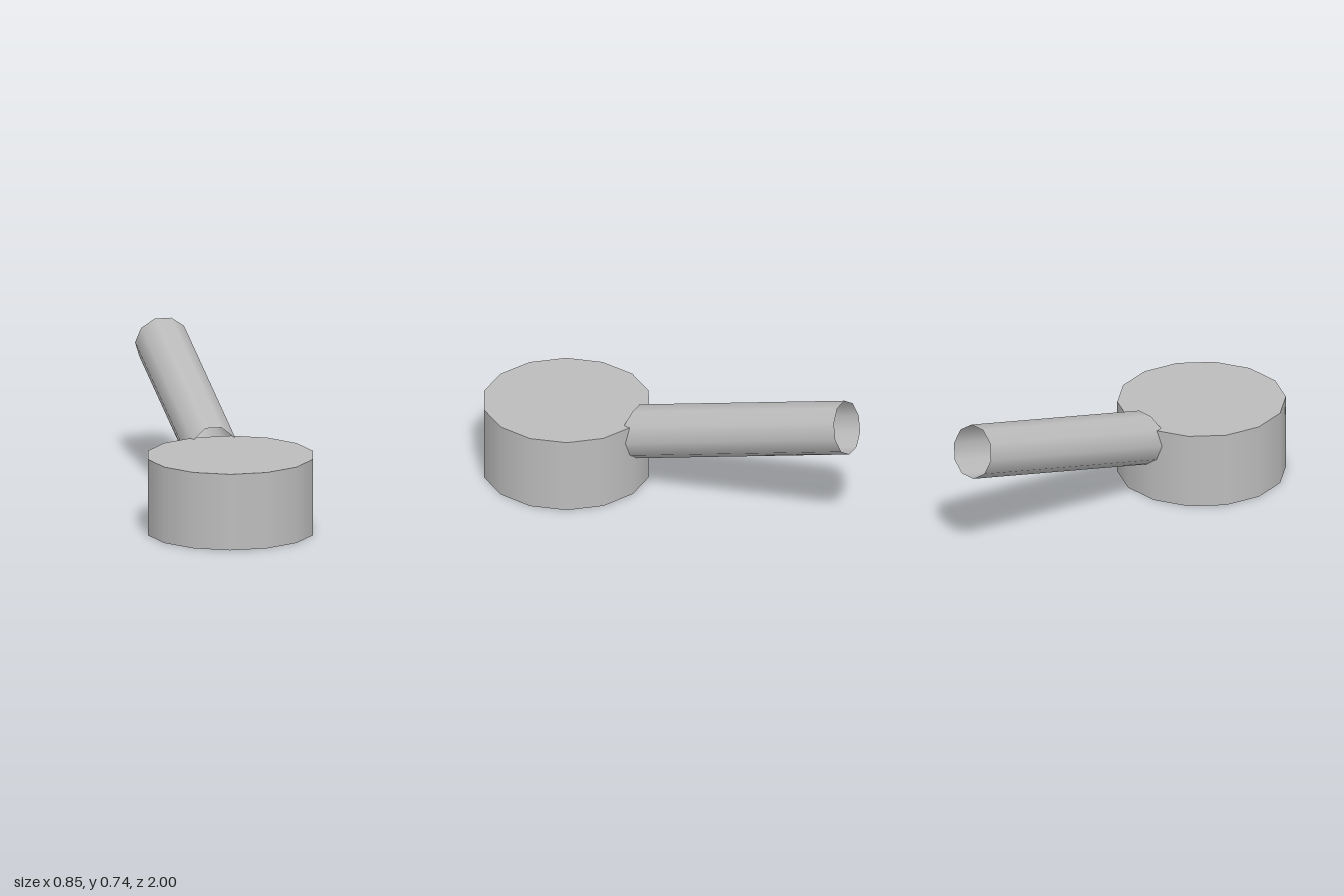
import * as THREE from 'three';

export function createModel() {
  const group = new THREE.Group();
  const grey = new THREE.MeshStandardMaterial({ color: 0xbcbcbc, side: THREE.DoubleSide });
  grey.name = 'grey';

  // Closed drum with 14 sides, a corner pointing to each side
  const drum = new THREE.Mesh(
    new THREE.CylinderGeometry(0.423, 0.423, 0.39, 14, 1, false, Math.PI / 2), grey);
  drum.name = 'drum';
  drum.position.set(0, 0.195, 0.588);
  group.add(drum);

  // Open ten-sided tube, its origin at the centre of the far end
  const length = 1.261;
  const tube = new THREE.CylinderGeometry(0.136, 0.136, length, 10, 1, true, Math.PI / 2);
  tube.translate(0, -length / 2, 0);

  // Slant the near end, which sinks into the drum
  const p = tube.attributes.position;
  for (let i = 0; i < p.count; i++) {
    if (p.getY(i) < -length / 2) p.setY(i, p.getY(i) + 0.66 * p.getZ(i));
  }

  // Lean the tube back, rising 15 degrees
  const handle = new THREE.Mesh(tube, grey);
  handle.name = 'handle';
  handle.rotation.x = THREE.MathUtils.degToRad(-75);
  handle.position.set(0, 0.62, -0.967);
  group.add(handle);

  return group;
}
